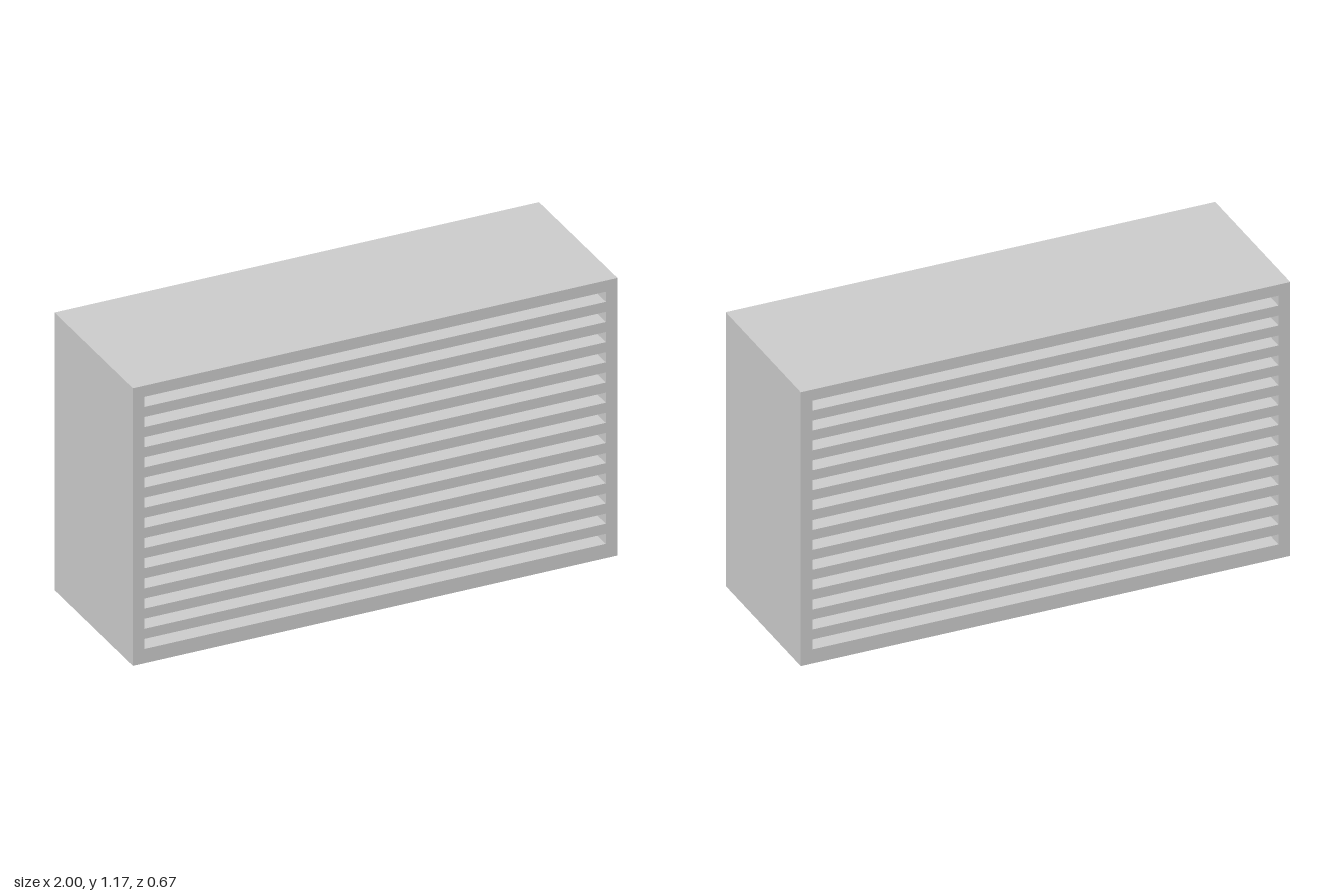
import * as THREE from 'three';

const WIDTH = 2, HEIGHT = 1.167, DEPTH = 0.667;
const SLOTS = 13, SLOT_HEIGHT = 0.0424, PITCH = 0.0848;
const SLOT_HALF_WIDTH = 0.952, FIRST_SLOT = 0.06;

// Adds a rectangle to a shape or path
function rectangle(path, x0, y0, x1, y1) {
  path.moveTo(x0, y0);
  path.lineTo(x1, y0);
  path.lineTo(x1, y1);
  path.lineTo(x0, y1);
  path.closePath();
  return path;
}

export function createModel() {
  const group = new THREE.Group();
  group.name = 'louvredBlock';

  // Outer frame, with a stack of slots running right through it
  const outline = rectangle(new THREE.Shape(), -WIDTH / 2, 0, WIDTH / 2, HEIGHT);
  for (let i = 0; i < SLOTS; i++) {
    const y = FIRST_SLOT + i * PITCH;
    outline.holes.push(
      rectangle(new THREE.Path(), -SLOT_HALF_WIDTH, y, SLOT_HALF_WIDTH, y + SLOT_HEIGHT)
    );
  }

  const geometry = new THREE.ExtrudeGeometry(outline, { depth: DEPTH, bevelEnabled: false });
  geometry.translate(0, 0, -DEPTH / 2);

  const grille = new THREE.Mesh(geometry, new THREE.MeshStandardMaterial({ color: 0xcccccc }));
  grille.name = 'slottedGrille';
  group.add(grille);
  return group;
}
